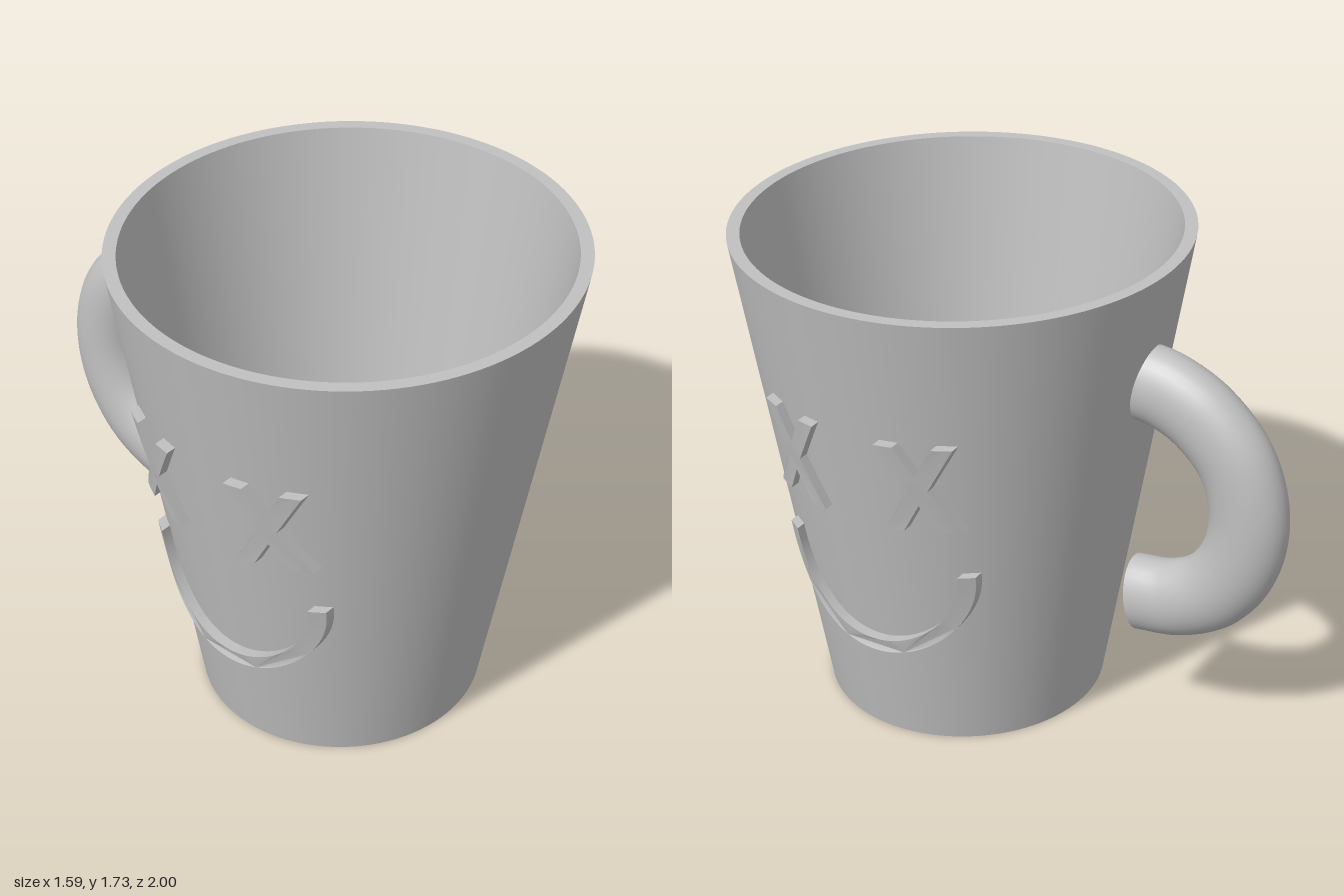
import * as THREE from 'three';
import { toCreasedNormals } from 'three/addons/utils/BufferGeometryUtils.js';

const HEIGHT = 1.73, R_BOTTOM = 0.505, R_TOP = 0.795, FLATTEN = 0.971;
const outerRadius = (y) => R_BOTTOM + (R_TOP - R_BOTTOM) * y / HEIGHT;

// Extrudes a shape sideways and bends it onto the tapered wall
function wallRelief(shape) {
  const geo = new THREE.ExtrudeGeometry(shape, { depth: 0.06, bevelEnabled: false, curveSegments: 40 });
  geo.translate(0, 0, -0.022).rotateY(Math.PI / 2);
  const p = geo.attributes.position;
  for (let i = 0; i < p.count; i++) {
    const r = outerRadius(p.getY(i)), z = p.getZ(i) / FLATTEN;
    p.setX(i, p.getX(i) + Math.sqrt(r * r - z * z));
  }
  return toCreasedNormals(geo, 0.5);
}

// Crossed strokes, with edges subdivided so they follow the wall
function crossShape(cx, cy) {
  const a = 0.12, b = 0.168, w = 0.062, t = w / 2;
  const n = b * t / (a - t); // notch height above the crossing
  const corners = [[-a, -b], [-a + w, -b], [0, -n], [a - w, -b], [a, -b], [t, 0],
    [a, b], [a - w, b], [0, n], [-a + w, b], [-a, b], [-t, 0]];
  const points = [];
  corners.forEach(([x, y], i) => {
    const [x2, y2] = corners[(i + 1) % corners.length];
    for (let k = 0; k < 4; k++) {
      points.push(new THREE.Vector2(cx + x + (x2 - x) * k / 4, cy + y + (y2 - y) * k / 4));
    }
  });
  return new THREE.Shape(points);
}

// Half ring, open upwards
function smileShape() {
  const s = new THREE.Shape();
  s.absarc(0, 0.75, 0.366, Math.PI, Math.PI * 2, false);
  s.absarc(0, 0.75, 0.316, Math.PI * 2, Math.PI, true);
  s.closePath();
  return s;
}

export function createModel() {
  const model = new THREE.Group();
  model.name = 'mug';
  const grey = new THREE.MeshStandardMaterial({ color: 0xc0c0c0 });
  grey.name = 'light grey';
  const add = (parent, geo, name) => {
    const m = new THREE.Mesh(geo, grey);
    m.name = name;
    parent.add(m);
    return m;
  };

  // Everything is placed round the axis of the cup
  const cup = new THREE.Group();
  cup.name = 'cup';
  cup.position.z = 0.228;
  model.add(cup);

  // Hollow tapered body, slightly oval
  const profile = [[0, 0], [R_BOTTOM, 0], [R_TOP, HEIGHT], [0.75, HEIGHT], [0.481, 0.12], [0, 0.12]]
    .map(([x, y]) => new THREE.Vector2(x, y));
  const body = add(cup, toCreasedNormals(new THREE.LatheGeometry(profile, 128), 0.5), 'body');
  body.scale.z = FLATTEN;

  // A raised face on each side
  for (const [name, turn] of [['leftFace', 0], ['rightFace', Math.PI]]) {
    const face = new THREE.Group();
    face.name = name;
    face.rotation.y = turn;
    cup.add(face);
    for (const s of [-1, 1]) add(face, wallRelief(crossShape(s * 0.236, 1.11)), s < 0 ? 'frontEye' : 'backEye');
    add(face, wallRelief(smileShape()), 'smile');
  }

  // Handle: oval tube with flat ends
  const path = new THREE.CatmullRomCurve3([
    [-0.46, 1.318], [-0.55, 1.303], [-0.68, 1.24], [-0.806, 1.105], [-0.86, 0.91],
    [-0.828, 0.73], [-0.735, 0.597], [-0.6, 0.525], [-0.46, 0.503],
  ].map(([z, y]) => new THREE.Vector3(0, y, z)));
  const handle = new THREE.Group();
  handle.name = 'handle';
  handle.scale.x = 0.108 / 0.138;
  model.add(handle);
  add(handle, new THREE.TubeGeometry(path, 64, 0.138, 32), 'grip');
  for (const [name, t] of [['upperEnd', 0], ['lowerEnd', 1]]) {
    const cap = add(handle, new THREE.CircleGeometry(0.138, 32), name);
    cap.position.copy(path.getPoint(t));
    const out = path.getTangent(t).multiplyScalar(t ? 1 : -1);
    cap.quaternion.setFromUnitVectors(new THREE.Vector3(0, 0, 1), out);
  }
  return model;
}
